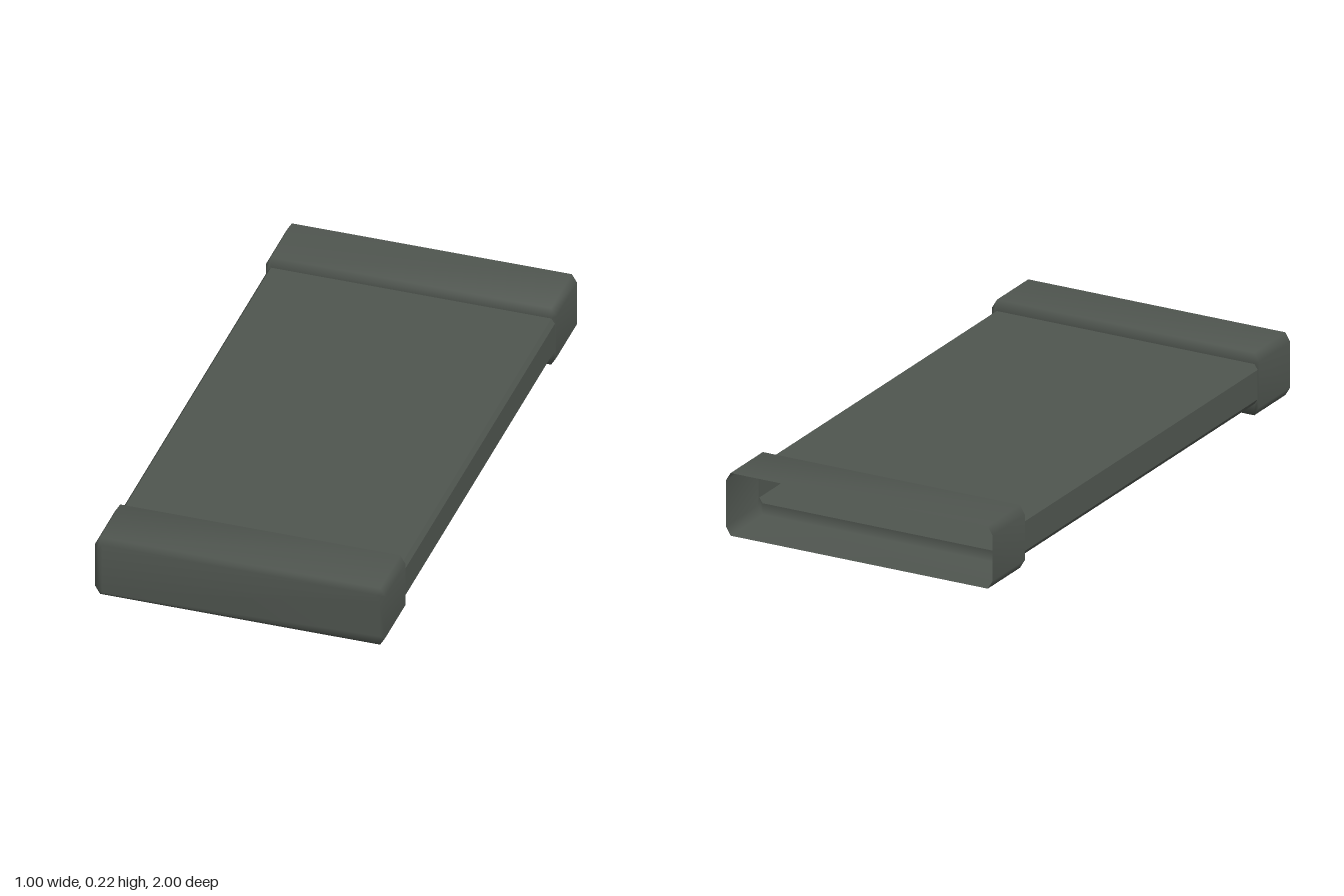
import * as THREE from 'three';

const shell = new THREE.MeshStandardMaterial({ color: 0x4f554f, side: THREE.DoubleSide });
shell.name = 'dark grey green';

// Chamfered rectangle, counter-clockwise seen from the front
function ring(z, halfWidth, bottom, top, cx, cy) {
  const w = halfWidth;
  return [
    [-w + cx, bottom], [w - cx, bottom], [w, bottom + cy], [w, top - cy],
    [w - cx, top], [-w + cx, top], [-w, top - cy], [-w, bottom + cy],
  ].map(([x, y]) => [x, y, z]);
}

// Skin over rings ordered from front to back
function loft(name, rings, { closedFront = false, smooth = true } = {}) {
  const n = 8, index = [];
  for (let r = 0; r < rings.length - 1; r++) {
    for (let i = 0; i < n; i++) {
      const j = (i + 1) % n;
      const a = r * n + i, a1 = r * n + j, b = a + n, b1 = a1 + n;
      index.push(a, b, a1, a1, b, b1);
    }
  }
  if (closedFront) for (let i = 1; i < n - 1; i++) index.push(0, i, i + 1);

  let geometry = new THREE.BufferGeometry();
  geometry.setAttribute('position', new THREE.Float32BufferAttribute(rings.flat(2), 3));
  geometry.setIndex(index);
  if (!smooth) geometry = geometry.toNonIndexed();
  geometry.computeVertexNormals();
  const mesh = new THREE.Mesh(geometry, shell);
  mesh.name = name;
  return mesh;
}

const bodyRing = (z) => ring(z, 0.495, 0.04, 0.18, 0.012, 0.018);
const capRing = (z) => ring(z, 0.5, 0, 0.22, 0.018, 0.03);

export function createModel() {
  const model = new THREE.Group();
  model.name = 'flatCase';

  // Hollow flat body with crisp edges
  model.add(loft('body', [bodyRing(0.775), bodyRing(-0.785)], { smooth: false }));

  // Closed front cap with a bevelled end and a step down to the body
  model.add(loft('frontCap', [
    ring(1, 0.485, 0.018, 0.202, 0.016, 0.025),
    capRing(0.983), capRing(0.775), bodyRing(0.775),
  ], { closedFront: true }));

  // Back cap, open at its end
  model.add(loft('backCap', [bodyRing(-0.785), capRing(-0.785), capRing(-1)]));

  return model;
}
